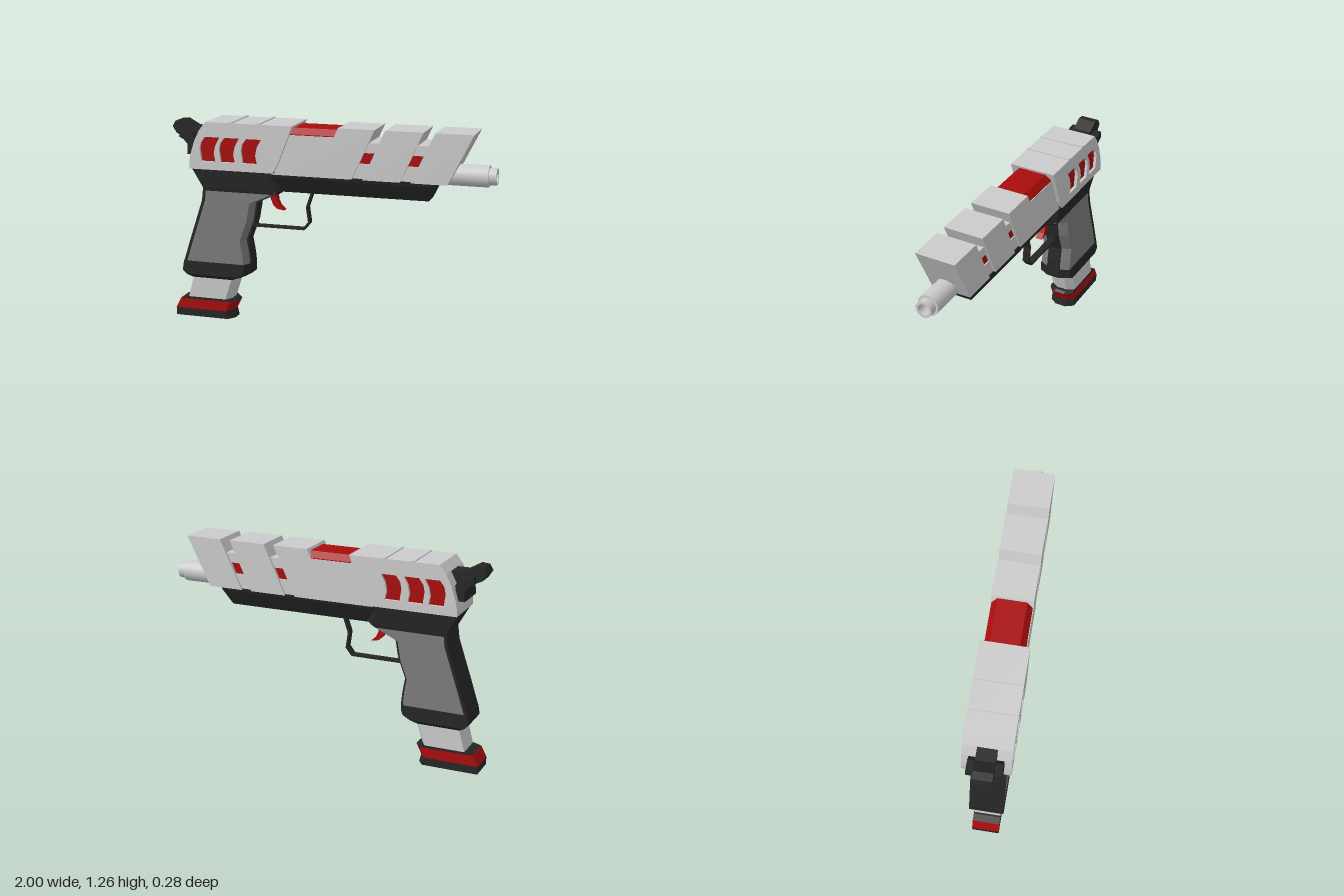
import * as THREE from 'three';

const mat = (color) => new THREE.MeshStandardMaterial({ color });

// Polygon in the side (xy) plane
function polygon(points, Type = THREE.Shape) {
  return new Type(points.map(([x, y]) => new THREE.Vector2(x, y)));
}

// Side profile extruded to half width hz on both sides of z = 0
function slab(points, hz, holes = []) {
  const shape = polygon(points);
  shape.holes = holes.map((h) => polygon(h, THREE.Path));
  const geo = new THREE.ExtrudeGeometry(shape, { depth: 2 * hz, bevelEnabled: false });
  return geo.translate(0, 0, -hz);
}

// Horizontal sections [y, xBack, xFront, halfZ]; front corners cut by cx, cz
function stack(levels, cx = 0, cz = 0) {
  const pos = [], index = [], n = 6, last = (levels.length - 1) * n;
  for (const [y, x0, x1, h] of levels) {
    const k = h - cz;
    for (const [x, z] of [[x1, k], [x1, -k], [x1 - cx, -h], [x0, -h],
      [x0, h], [x1 - cx, h]]) pos.push(x, y, z);
  }
  for (let l = 0; l < last; l += n) {
    for (let i = 0; i < n; i++) {
      const a = l + i, b = l + (i + 1) % n;
      index.push(a, b, b + n, a, b + n, a + n);
    }
  }
  for (let i = 1; i < n - 1; i++) {
    index.push(0, i + 1, i, last, last + i, last + i + 1);
  }
  let geo = new THREE.BufferGeometry();
  geo.setAttribute('position', new THREE.Float32BufferAttribute(pos, 3));
  geo.setIndex(index);
  geo = geo.toNonIndexed();
  geo.computeVertexNormals();
  return geo;
}

const box = (x0, x1, y0, y1, hz) =>
  new THREE.BoxGeometry(x1 - x0, y1 - y0, 2 * hz).translate((x0 + x1) / 2, (y0 + y1) / 2, 0);

export function createModel() {
  const group = new THREE.Group();
  const light = mat(0xcccccc), dark = mat(0x262626), grey = mat(0x7c7c7c), red = mat(0xa80c0c);
  const add = (name, geo, material) => {
    const mesh = new THREE.Mesh(geo, material);
    mesh.name = name;
    group.add(mesh);
  };

  // Rear slide with three curved windows over a red core
  const vents = [0, 0.125, 0.265].map((d) => [
    [-0.78, 1.01], [-0.688, 1.01], [-0.698, 1.06], [-0.688, 1.11], [-0.66, 1.16],
    [-0.755, 1.16], [-0.782, 1.125], [-0.79, 1.085],
  ].map(([x, y]) => [x + d, y]));
  add('rearSlide', slab([[-0.86, 0.96], [-0.325, 0.96], [-0.295, 1.01], [-0.2, 1.25],
    [-0.75, 1.25], [-0.79, 1.2], [-0.825, 1.13], [-0.85, 1.05], [-0.86, 1.0]], 0.142, vents), light);
  add('rearVentCore', box(-0.8, -0.38, 0.99, 1.18, 0.124), red);
  add('slideTrim', box(-0.36, -0.318, 0.961, 0.971, 0.136), red);
  for (const x of [-0.59, -0.415]) add('slideRib', box(x - 0.012, x + 0.012, 1.24, 1.256, 0.142), light);

  // Front slide: three slanted blocks over a narrower core, with ports in the channels
  const ports = [0, 0.29].map((d) => [
    [0.2 + d, 1.045], [0.27 + d, 1.045], [0.298 + d, 1.11], [0.228 + d, 1.11]]);
  add('frontSlideCore', slab([[0, 0.951], [0.72, 0.951], [0.82, 1.17], [0.1, 1.17]], 0.107, ports), light);
  add('frontPortCore', box(0.17, 0.62, 1.03, 1.13, 0.1), red);
  const blocks = [
    [[-0.34, 0.95], [0.158, 0.95], [0.297, 1.25], [0.075, 1.25], [0.05, 1.195], [-0.23, 1.195]],
    [[0.224, 0.95], [0.45, 0.95], [0.588, 1.25], [0.36, 1.25]],
    [[0.514, 0.95], [0.73, 0.95], [0.88, 1.25], [0.655, 1.25]],
  ];
  for (const b of blocks) add('frontSlideBlock', slab(b, 0.122), light);

  // Chamfered red cover in the gap of the slide
  add('ejectionCover', stack([[1.18, -0.24, 0.06, 0.118], [1.2, -0.24, 0.062, 0.118],
    [1.235, -0.23, 0.07, 0.085]]), red);

  // Frame: narrow keel in front, full width above the grip
  add('frontFrame', stack([[0.835, -0.42, 0.61, 0.055], [0.93, -0.42, 0.652, 0.105],
    [0.955, -0.42, 0.662, 0.112]]), dark);
  add('rearFrame', stack([[0.82, -0.785, -0.31, 0.1], [0.84, -0.79, -0.285, 0.104],
    [0.965, -0.86, -0.325, 0.114]], 0.04, 0.045), dark);

  // Hollow stepped barrel
  const barrel = new THREE.LatheGeometry([[0, 0.6], [0.064, 0.6], [0.064, 0.955], [0.05, 0.955],
    [0.05, 1], [0.034, 1], [0.034, 0.9], [0, 0.9]].flatMap(([r, y], i, all) => {
    const p = new THREE.Vector2(r, y);
    return i && i < all.length - 1 ? [p, p.clone()] : [p];
  }), 24);
  barrel.rotateZ(-Math.PI / 2).translate(0, 0.995, 0.005);
  add('barrel', barrel, light);

  // Grip: dark spine, full-width backstrap, grey panels chamfered at the front, dark foot
  const gripLevels = [[0.36, -0.93, -0.5], [0.43, -0.907, -0.507], [0.515, -0.88, -0.522],
    [0.64, -0.838, -0.475], [0.755, -0.8, -0.455], [0.79, -0.795, -0.38], [0.835, -0.79, -0.285]];
  add('gripSpine', stack(gripLevels.map((l) => [...l, 0.043])), dark);
  add('backstrap', stack(gripLevels.map(([y, a]) => [y, a, a + 0.018, 0.104])), dark);
  add('gripPanels', stack(gripLevels.map(([y, a, b]) => [y, a + 0.01, b - 0.012, 0.1]), 0.025, 0.055), grey);
  add('gripFoot', stack([[0.258, -0.88, -0.585, 0.085], [0.28, -0.915, -0.545, 0.105],
    [0.305, -0.94, -0.5, 0.105], [0.365, -0.93, -0.5, 0.105]], 0.035, 0.063), dark);

  // Magazine with a red and dark base
  add('magazine', stack([[0.11, -0.918, -0.643, 0.081], [0.29, -0.87, -0.585, 0.081]], 0.03, 0.046), light);
  add('basePlateTop', stack([[0.112, -0.967, -0.6, 0.083], [0.126, -0.925, -0.615, 0.083]], 0.035, 0.048), dark);
  add('baseBand', stack([[0.048, -1, -0.632, 0.083], [0.113, -0.967, -0.6, 0.083]], 0.035, 0.048), red);
  add('basePlateBottom', stack([[0, -0.998, -0.62, 0.083], [0.049, -1, -0.632, 0.083]], 0.035, 0.048), dark);

  // Hammer with side wings
  add('hammer', slab([[-1, 1.2], [-0.975, 1.16], [-0.91, 1.13], [-0.885, 1.1], [-0.89, 1.04],
    [-0.78, 1.04], [-0.78, 1.2], [-0.865, 1.2], [-0.935, 1.24], [-0.98, 1.235]], 0.057), dark);
  add('hammerWings', slab([[-0.94, 1.145], [-0.91, 1.13], [-0.885, 1.1], [-0.89, 1.04],
    [-0.84, 1.04], [-0.83, 1.13], [-0.86, 1.175], [-0.935, 1.185]], 0.1), dark);

  // Trigger and its guard
  add('trigger', slab([[-0.395, 0.84], [-0.385, 0.79], [-0.365, 0.74], [-0.342, 0.718], [-0.295, 0.71],
    [-0.325, 0.738], [-0.34, 0.77], [-0.345, 0.84]], 0.022), red);
  add('triggerGuard', slab([[-0.12, 0.845], [-0.156, 0.74], [-0.143, 0.648], [-0.175, 0.607], [-0.475, 0.607],
    [-0.475, 0.66], [-0.5, 0.66], [-0.5, 0.595], [-0.168, 0.595], [-0.13, 0.642],
    [-0.143, 0.738], [-0.107, 0.845]], 0.022), dark);

  return group;
}
